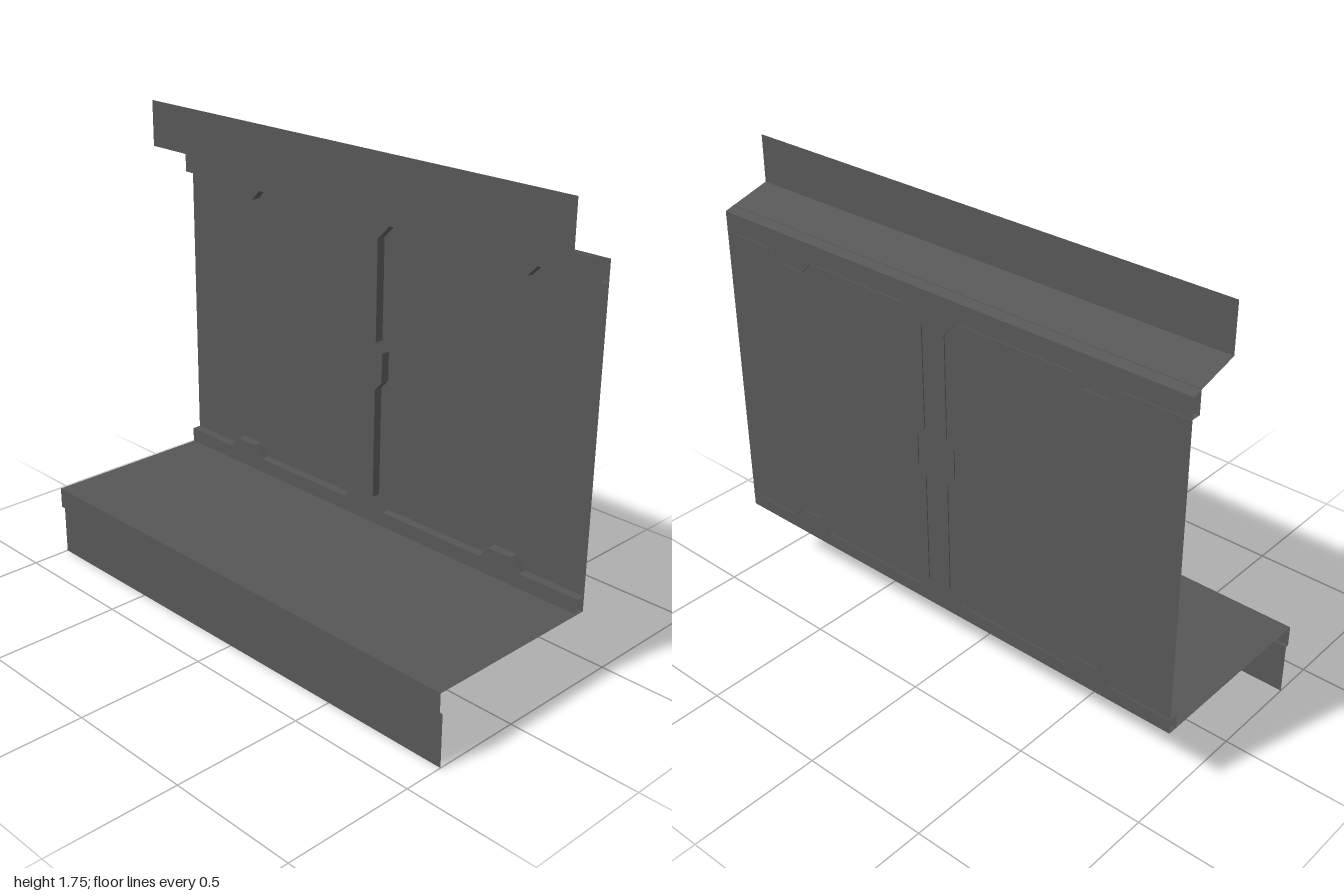
import * as THREE from 'three';

const FRONT = -0.322, BACK = -0.357, RIM = -0.361; // wall layers in z

const material = new THREE.MeshStandardMaterial({
  color: 0x565656, flatShading: true, side: THREE.DoubleSide,
});

function part(name, geometry) {
  const mesh = new THREE.Mesh(geometry, material);
  mesh.name = name;
  return mesh;
}

// Sheet swept from a path of 3D points along one offset, with hard folds
function sheet(path, offset) {
  const pos = [];
  for (let i = 0; i < path.length - 1; i++) {
    const a = new THREE.Vector3(...path[i]), b = new THREE.Vector3(...path[i + 1]);
    const c = b.clone().add(offset), d = a.clone().add(offset);
    for (const v of [a, b, c, a, c, d]) pos.push(v.x, v.y, v.z);
  }
  const g = new THREE.BufferGeometry();
  g.setAttribute('position', new THREE.Float32BufferAttribute(pos, 3));
  g.computeVertexNormals();
  return g;
}

// Folded strip across the full width, from a [z, y] profile
const fold = (profile) =>
  sheet(profile.map(([z, y]) => [-1, y, z]), new THREE.Vector3(2, 0, 0));

export function createModel() {
  const model = new THREE.Group();
  model.name = 'wallSection';

  // Recess outline of the left panel, from the top outer end to the bottom one
  const outline = [
    [1, 1.442], [0.75, 1.442], [0.71, 1.4], [0.61, 1.4], [0.57, 1.442],
    [0.105, 1.442], [0.05, 1.387], [0.05, 1], [0.083, 0.965],
    [0.083, 0.85], [0.05, 0.817], [0.05, 0.385], [0.1, 0.338],
    [0.57, 0.338], [0.61, 0.385], [0.71, 0.385], [0.75, 0.338], [1, 0.338],
  ];
  const mirrored = outline.map(([x, y]) => [-x, y]);

  // Raised frame: rails and central pillar around both recesses
  const border = [
    [1, 1.527], ...outline, [1, 0.28],
    [-1, 0.28], ...[...mirrored].reverse(), [-1, 1.527],
  ].map(([x, y]) => new THREE.Vector2(x, y));
  const frame = part('frameFace', new THREE.ShapeGeometry(new THREE.Shape(border)));
  frame.position.z = FRONT;
  model.add(frame);

  // Side walls of the recesses
  for (const [name, line] of [['leftRecessEdge', outline], ['rightRecessEdge', mirrored]]) {
    model.add(part(name, sheet(
      line.map(([x, y]) => [x, y, FRONT]), new THREE.Vector3(0, 0, RIM - FRONT))));
  }

  // Flat panel behind the frame
  model.add(part('backPanel', fold([[BACK, 0.28], [BACK, 1.515]])));

  // Sloped ledge and upright strip at the top
  model.add(part('topLedge', fold([[BACK, 1.515], [-0.167, 1.568]])));
  model.add(part('topStrip', fold([[-0.167, 1.568], [-0.167, 1.745]])));

  // Floor with its front lip, and the skirt set slightly back beneath it
  model.add(part('floor', fold([[BACK, 0.28], [0.36, 0.28]])));
  model.add(part('floorLip', fold([[0.36, 0.28], [0.36, 0.2], [0.347, 0.2]])));
  model.add(part('skirt', fold([[0.347, 0.2], [0.347, 0]])));

  return model;
}
